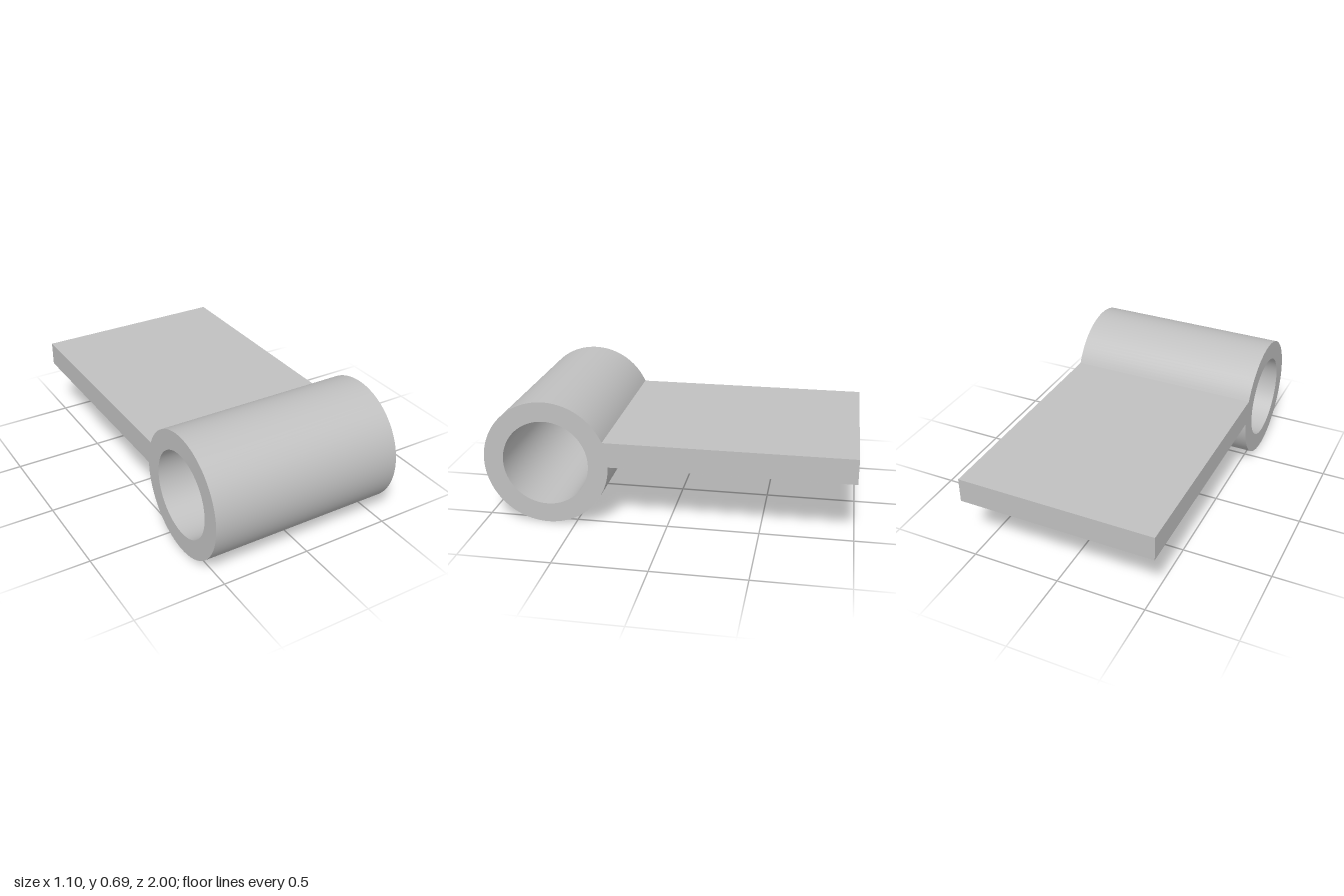
import * as THREE from 'three';
import { toCreasedNormals } from 'three/addons/utils/BufferGeometryUtils.js';

export function createModel() {
  const group = new THREE.Group();
  const grey = new THREE.MeshStandardMaterial({ color: 0xc0c0c0 });
  grey.name = 'plain grey';

  const width = 1.1;
  const R = 0.345, bore = 0.237;   // barrel radii
  const cu = -0.655, cy = R;       // barrel centre, u = -z
  const thickness = 0.138;         // leaf, its underside level with the barrel axis

  // Side profile: barrel outline running into the flat leaf
  const profile = new THREE.Shape();
  profile.moveTo(1, cy);
  profile.lineTo(1, cy + thickness);
  profile.absarc(cu, cy, R, Math.asin(thickness / R), Math.PI * 2, false);
  profile.closePath();

  // Pin bore
  const hole = new THREE.Path();
  hole.absarc(cu, cy, bore, 0, Math.PI * 2, true);
  profile.holes.push(hole);

  const extruded = new THREE.ExtrudeGeometry(profile, {
    depth: width, bevelEnabled: false, curveSegments: 48,
  });
  extruded.translate(0, 0, -width / 2).rotateY(Math.PI / 2);

  const hinge = new THREE.Mesh(toCreasedNormals(extruded, 0.5), grey);
  hinge.name = 'hingeLeafWithBarrel';
  group.add(hinge);
  return group;
}
